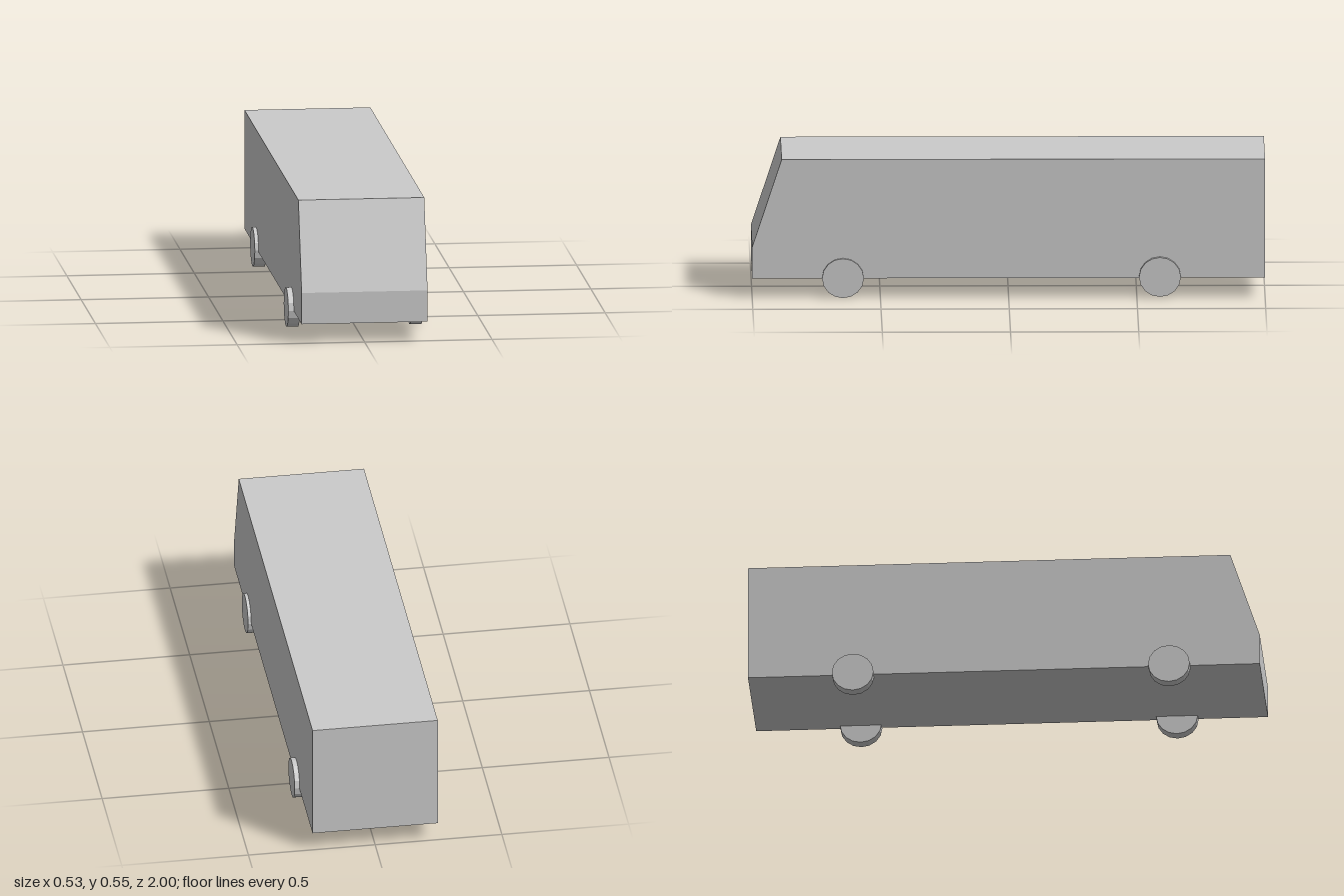
import * as THREE from 'three';

export function createModel() {
  const group = new THREE.Group();
  group.name = 'bus';
  const material = new THREE.MeshStandardMaterial({ color: 0xcccccc, flatShading: true });

  // Body: side profile (z, y) extruded across the width
  const width = 0.494;
  const profile = new THREE.Shape([
    [-1, 0.076], [1, 0.076], [1, 0.2], [0.885, 0.547], [-1, 0.547],
  ].map(([z, y]) => new THREE.Vector2(z, y)));
  const bodyGeometry = new THREE.ExtrudeGeometry(profile, { depth: width, bevelEnabled: false });
  bodyGeometry.translate(0, 0, -width / 2).rotateY(-Math.PI / 2);
  const body = new THREE.Mesh(bodyGeometry, material);
  body.name = 'body';
  group.add(body);

  // Wheels: short discs, slightly longer than tall, set by hand on each corner
  const wheelGeometry = new THREE.CylinderGeometry(0.078, 0.078, 0.045, 16);
  wheelGeometry.rotateZ(Math.PI / 2).scale(1, 1, 1.045);
  const wheels = [
    ['frontLeftWheel', 0.237, 0.078, 0.646],
    ['frontRightWheel', -0.246, 0.078, 0.646],
    ['rearLeftWheel', 0.244, 0.082, -0.59],
    ['rearRightWheel', -0.239, 0.082, -0.59],
  ];
  for (const [name, x, y, z] of wheels) {
    const wheel = new THREE.Mesh(wheelGeometry, material);
    wheel.name = name;
    wheel.position.set(x, y, z);
    group.add(wheel);
  }
  return group;
}
